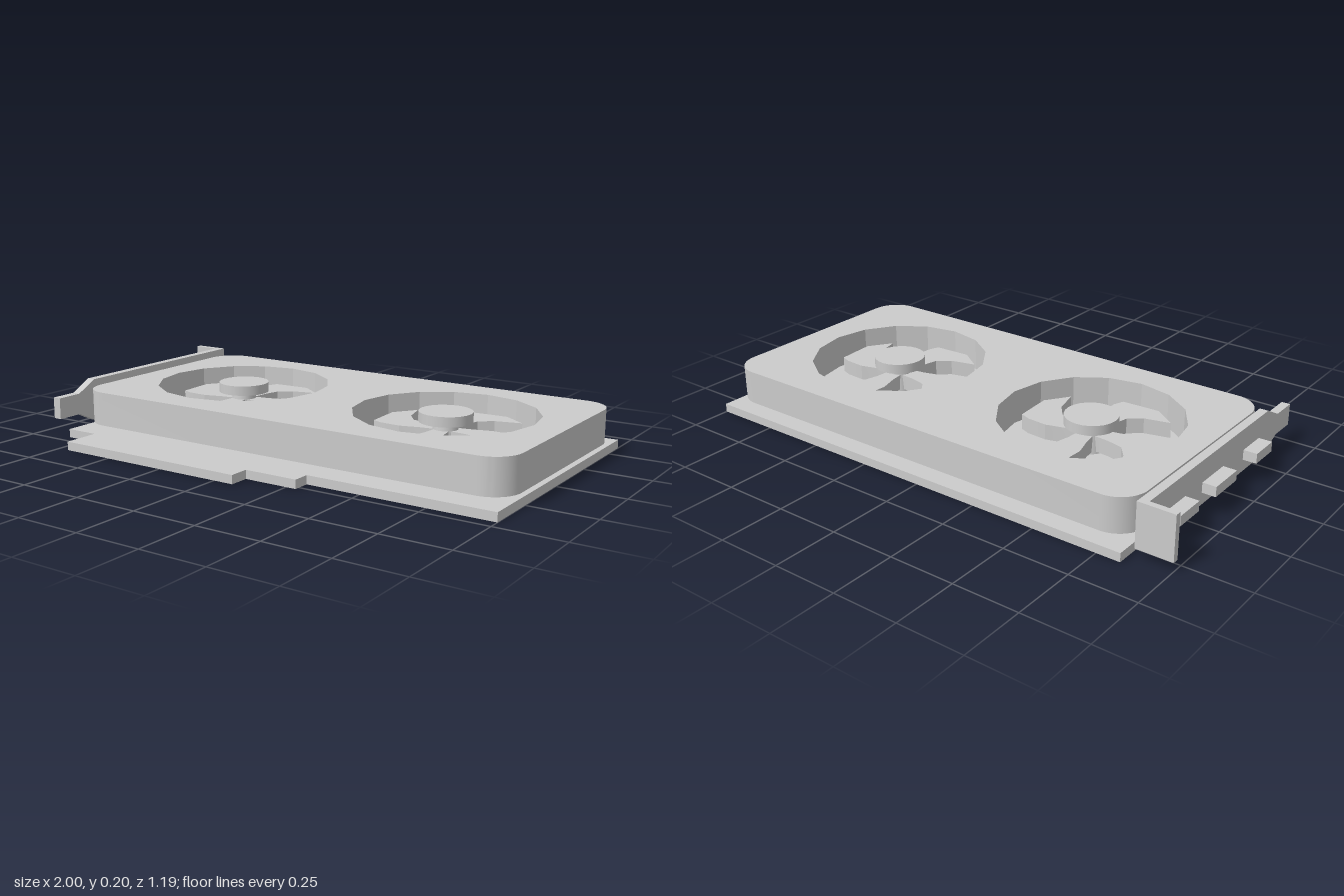
import * as THREE from 'three';
import { toCreasedNormals } from 'three/addons/utils/BufferGeometryUtils.js';

const material = new THREE.MeshStandardMaterial({ color: 0xcccccc });
const FAN_Z = -0.08;

function add(parent, name, geometry) {
  const mesh = new THREE.Mesh(geometry, material);
  mesh.name = name;
  parent.add(mesh);
  return mesh;
}

// Box given by its minimum and maximum corners
function box(parent, name, [x0, y0, z0], [x1, y1, z1]) {
  const mesh = add(parent, name, new THREE.BoxGeometry(x1 - x0, y1 - y0, z1 - z0));
  mesh.position.set((x0 + x1) / 2, (y0 + y1) / 2, (z0 + z1) / 2);
}

function polygon(points) {
  return new THREE.Shape(points.map(([a, b]) => new THREE.Vector2(a, b)));
}

// Outline drawn in (x, z), standing between two heights
function slab(shape, y0, y1) {
  const g = new THREE.ExtrudeGeometry(shape, { depth: y1 - y0, bevelEnabled: false, curveSegments: 8 });
  g.rotateX(Math.PI / 2).translate(0, y1, 0);
  return toCreasedNormals(g, 0.3);
}

function roundedRect(x0, z0, x1, z1, r) {
  const s = new THREE.Shape();
  s.absarc(x1 - r, z1 - r, r, 0, Math.PI / 2);
  s.absarc(x0 + r, z1 - r, r, Math.PI / 2, Math.PI);
  s.absarc(x0 + r, z0 + r, r, Math.PI, Math.PI * 1.5);
  s.absarc(x1 - r, z0 + r, r, Math.PI * 1.5, Math.PI * 2);
  s.closePath();
  return s;
}

function createFan() {
  const fan = new THREE.Group();
  fan.name = 'fan';
  // Floor of the fan well
  add(fan, 'fanFloor', new THREE.CylinderGeometry(0.39, 0.39, 0.008, 32)).position.y = 0.047;
  // Mushroom-shaped hub
  add(fan, 'hubStem', new THREE.CylinderGeometry(0.045, 0.055, 0.1, 20)).position.y = 0.1;
  add(fan, 'hubCap', new THREE.CylinderGeometry(0.1, 0.1, 0.038, 24)).position.y = 0.166;
  // Swept blades
  const outline = polygon([
    [-0.03, -0.03], [-0.04, -0.09], [-0.06, -0.16], [-0.055, -0.24], [-0.04, -0.28],
    [0.045, -0.285], [0.11, -0.288], [0.2, -0.225], [0.1, -0.2], [0.05, -0.16],
    [0.035, -0.095], [0.03, -0.03],
  ]);
  const blade = slab(outline, 0.06, 0.12);
  for (let i = 0; i < 4; i++) add(fan, 'blade', blade).rotation.y = i * Math.PI / 2;
  return fan;
}

export function createModel() {
  const card = new THREE.Group();
  card.name = 'expansionCard';

  // Circuit board with the stepped edge connector
  add(card, 'circuitBoard', slab(polygon([
    [-0.84, -0.597], [1, -0.597], [1, 0.455], [0.29, 0.455], [0.29, 0.52],
    [0.08, 0.52], [0.08, 0.597], [-0.705, 0.597], [-0.705, 0.455], [-0.84, 0.455],
  ]), 0, 0.033));

  // Cooler shroud with two sixteen-sided openings
  const fanXs = [-0.385, 0.535];
  const outline = roundedRect(-0.835, -0.545, 0.998, 0.387, 0.11);
  for (const x of fanXs) {
    const points = [];
    for (let i = 0; i < 16; i++) {
      const a = i * Math.PI / 8;
      points.push(new THREE.Vector2(x + 0.345 * Math.cos(a), FAN_Z + 0.345 * Math.sin(a)));
    }
    outline.holes.push(new THREE.Path(points));
  }
  add(card, 'shroud', slab(outline, 0.049, 0.181));

  for (const x of fanXs) {
    const fan = createFan();
    fan.position.set(x, 0, FAN_Z);
    card.add(fan);
  }

  // Mounting bracket, profile in (z, y), tapering to a narrow tongue
  const profile = polygon([
    [-0.548, 0.033], [0.29, 0.033], [0.375, 0.075], [0.48, 0.075],
    [0.48, 0.158], [0.375, 0.158], [0.29, 0.202], [-0.548, 0.202],
  ]);
  const plate = new THREE.ExtrudeGeometry(profile, { depth: 0.033, bevelEnabled: false });
  plate.rotateY(-Math.PI / 2).translate(-0.86, 0, 0);
  add(card, 'bracketPlate', plate);
  box(card, 'bracketFlange', [-1, 0.033, -0.548], [-0.86, 0.202, -0.525]);

  // Output ports
  for (const [z0, z1] of [[-0.417, -0.297], [-0.183, -0.038], [0.112, 0.23]]) {
    box(card, 'port', [-0.945, 0.08, z0], [-0.88, 0.118, z1]);
  }
  return card;
}
